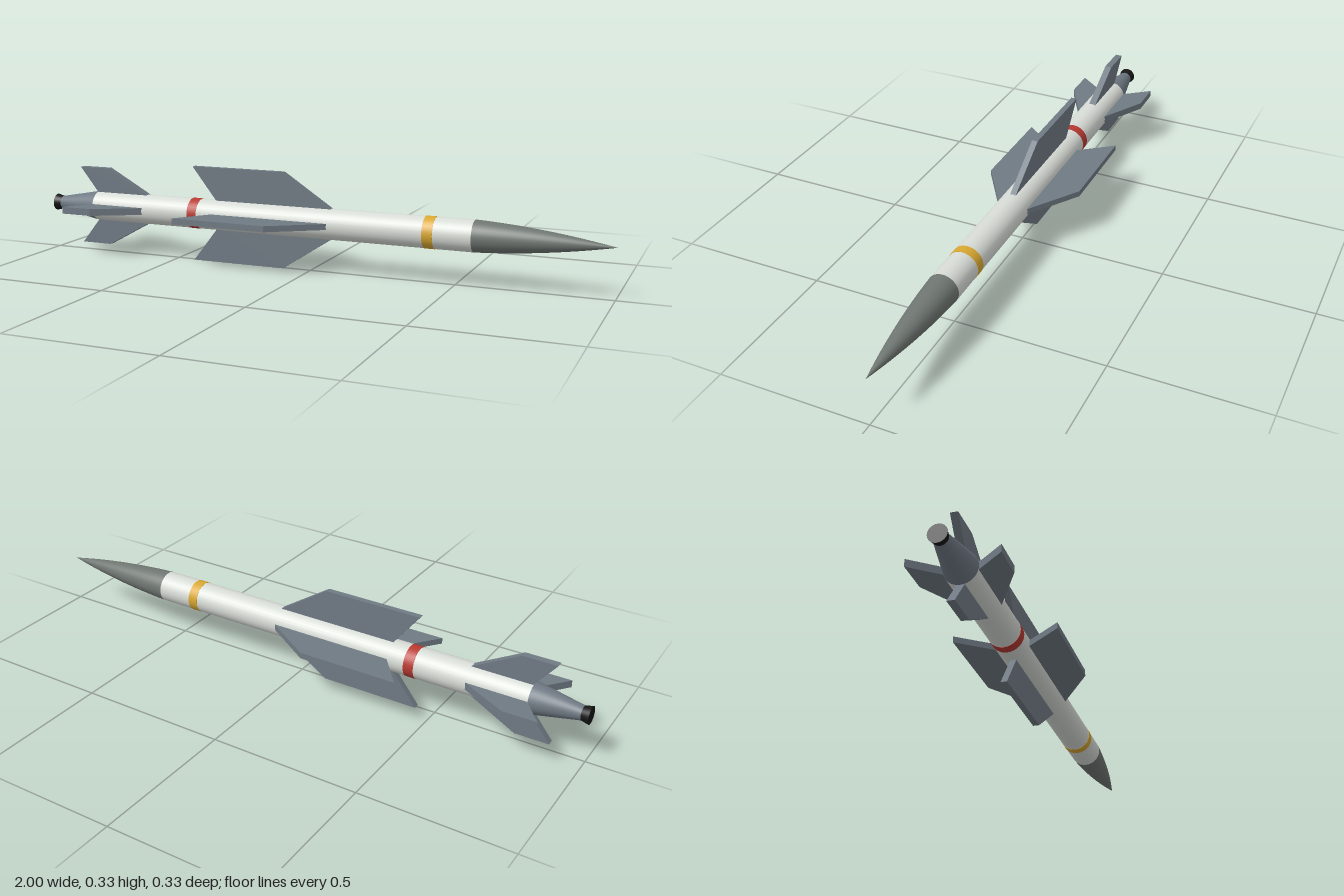
import * as THREE from 'three';

const AXIS_Y = 0.164;
const R = 0.052;
const SIDES = 32;

const mat = (color, extra = {}) => new THREE.MeshStandardMaterial({ color, ...extra });

export function createModel() {
  const root = new THREE.Group();
  root.name = 'missile';
  const airframe = new THREE.Group();
  airframe.name = 'airframe';
  airframe.position.y = AXIS_Y;
  root.add(airframe);

  const white = mat(0xd8dcd6);
  const noseGrey = mat(0x6f7672);
  const finGrey = mat(0x707a84);
  const red = mat(0xb83a32);
  const yellow = mat(0xd9a832);
  const black = mat(0x161616);

  const add = (name, geometry, material, parent = airframe) => {
    const mesh = new THREE.Mesh(geometry, material);
    mesh.name = name;
    parent.add(mesh);
    return mesh;
  };

  // Round section along x, from x0 (radius r0) to x1 (radius r1)
  const section = (name, x0, r0, x1, r1, material) => {
    const g = new THREE.CylinderGeometry(r1, r0, x1 - x0, SIDES);
    g.rotateZ(-Math.PI / 2).translate((x0 + x1) / 2, 0, 0);
    return add(name, g, material);
  };

  section('body', -0.82, R, 0.56, R, white);
  section('tailCone', -0.975, 0.023, -0.82, R, finGrey);
  section('nozzle', -1, 0.029, -0.975, 0.023, black);
  section('redBand', -0.44, R + 0.0008, -0.405, R + 0.0008, red);
  section('yellowBand', 0.4, R + 0.0008, 0.435, R + 0.0008, yellow);

  // Pointed, gently curved nose
  const profile = [];
  for (let i = 0; i <= 12; i++) {
    const t = i / 12;
    const r = R * (0.35 * (1 - t) + 0.65 * (1 - t * t));
    profile.push(new THREE.Vector2(i === 12 ? 0 : r, 0.56 + 0.44 * t));
  }
  const nose = new THREE.LatheGeometry(profile, SIDES);
  nose.rotateZ(-Math.PI / 2);
  add('noseCone', nose, noseGrey);

  // Four flat swept fins around the body; points are [x, radius]
  const finSet = (name, points, thickness) => {
    const shape = new THREE.Shape(points.map(([x, y]) => new THREE.Vector2(x, y)));
    const g = new THREE.ExtrudeGeometry(shape, { depth: thickness, bevelEnabled: false });
    g.translate(0, 0, -thickness / 2);
    const set = new THREE.Group();
    set.name = name + 's';
    airframe.add(set);
    for (let i = 0; i < 4; i++) {
      add(name, g, finGrey, set).rotation.x = (i * Math.PI) / 2;
    }
  };

  finSet('wing', [[-0.338, 0.04], [0.092, 0.04], [0.075, R], [-0.097, 0.164], [-0.435, 0.164]], 0.02);
  finSet('tailFin', [[-0.81, 0.04], [-0.6, 0.04], [-0.62, R], [-0.775, 0.137], [-0.888, 0.137], [-0.82, R]], 0.024);

  return root;
}
